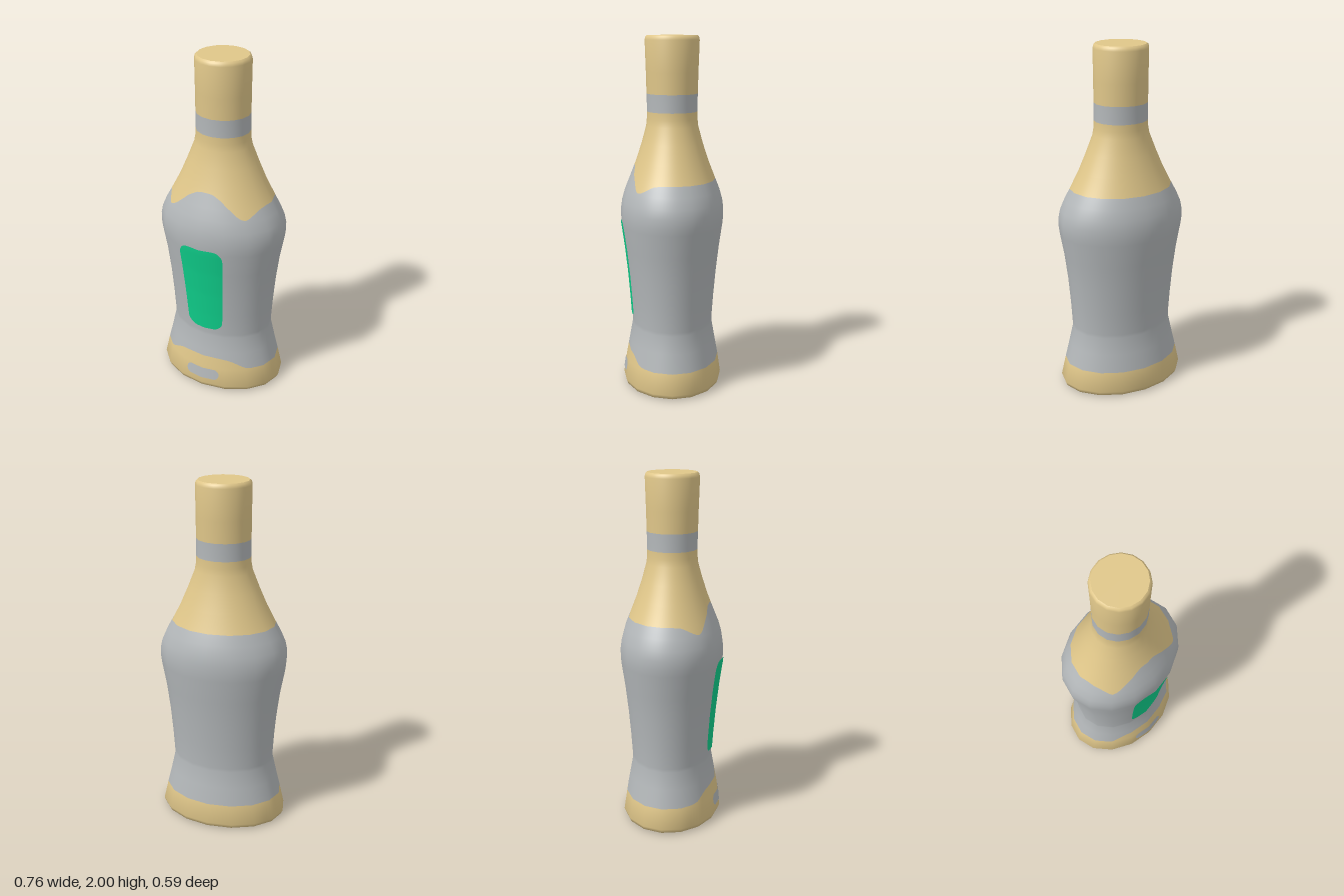
import * as THREE from 'three';

const SIDES = 16, SUB = 6;
// Oval bottle profile: height, half width, half depth
const PROFILE = [
  [0, 0.352, 0.262], [0.008, 0.37, 0.278], [0.03, 0.379, 0.286], [0.14, 0.353, 0.27], [0.25, 0.326, 0.25],
  [0.35, 0.303, 0.232], [0.37, 0.303, 0.232], [0.5, 0.311, 0.241], [0.65, 0.324, 0.254],
  [0.8, 0.343, 0.271], [0.94, 0.369, 0.291], [0.98, 0.374, 0.294], [1.03, 0.374, 0.294], [1.08, 0.363, 0.287],
  [1.14, 0.336, 0.27], [1.2, 0.302, 0.246], [1.3, 0.249, 0.207], [1.4, 0.205, 0.174],
  [1.5, 0.164, 0.147], [1.54, 0.156, 0.143], [1.6, 0.154, 0.142], [1.8, 0.154, 0.147],
  [1.975, 0.155, 0.153], [1.992, 0.151, 0.149], [2, 0.142, 0.14],
];
const LEVELS = PROFILE.map((p) => p[0]);

// Linear lookup of column k in a table sorted by its first column
function lookup(table, v, k = 1) {
  const i = Math.max(1, table.findIndex((p) => p[0] >= v));
  const a = table[i - 1], b = table[i];
  return a[k] + (b[k] - a[k]) * THREE.MathUtils.clamp((v - a[0]) / (b[0] - a[0]), 0, 1);
}

// Smooth normal of the oval body at an angle measured from the front
function bodyNormal(angle, y) {
  const h = y < 0.04 || y > 1.96 ? 0.006 : 0.018;
  const lo = Math.max(0, y - h), hi = Math.min(2, y + h);
  const rx = lookup(PROFILE, y, 1), rz = lookup(PROFILE, y, 2);
  const s = Math.sin(angle), c = Math.cos(angle);
  const dx = (lookup(PROFILE, hi, 1) - lookup(PROFILE, lo, 1)) / (hi - lo);
  const dz = (lookup(PROFILE, hi, 2) - lookup(PROFILE, lo, 2)) / (hi - lo);
  return new THREE.Vector3(rz * s, -(rz * dx * s * s + rx * dz * c * c), rx * c).normalize();
}

// Point on the sixteen-sided body; u counts sides from the front
function bodyPoint(u, y) {
  const step = (Math.PI * 2) / SIDES, i = Math.floor(u), t = u - i;
  const a = i * step, b = a + step;
  return new THREE.Vector3(
    lookup(PROFILE, y, 1) * THREE.MathUtils.lerp(Math.sin(a), Math.sin(b), t), y,
    lookup(PROFILE, y, 2) * THREE.MathUtils.lerp(Math.cos(a), Math.cos(b), t));
}

// Grid surface from a function (column, row) returning { p, n }
function gridMesh(name, cols, rows, at, material) {
  const pos = [], nor = [], index = [];
  for (let i = 0; i <= cols; i++) {
    for (let j = 0; j <= rows; j++) {
      const { p, n } = at(i, j);
      pos.push(p.x, p.y, p.z);
      nor.push(n.x, n.y, n.z);
    }
  }
  const same = (a, b) => [0, 1, 2].every((k) => Math.abs(pos[a * 3 + k] - pos[b * 3 + k]) < 1e-7);
  const tri = (a, b, c) => {
    if (!same(a, b) && !same(b, c) && !same(a, c)) index.push(a, b, c);
  };
  for (let i = 0; i < cols; i++) {
    for (let j = 0; j < rows; j++) {
      const a = i * (rows + 1) + j, b = a + rows + 1;
      tri(a, b, b + 1);
      tri(a, b + 1, a + 1);
    }
  }
  const g = new THREE.BufferGeometry();
  g.setAttribute('position', new THREE.Float32BufferAttribute(pos, 3));
  g.setAttribute('normal', new THREE.Float32BufferAttribute(nor, 3));
  g.setIndex(index);
  const mesh = new THREE.Mesh(g, material);
  mesh.name = name;
  return mesh;
}

// Part of the body between two edges, each a height depending on the angle
function band(name, low, high, material) {
  return gridMesh(name, SIDES * SUB, LEVELS.length + 1, (i, j) => {
    const u = i / SUB, angle = (u / SIDES) * Math.PI * 2;
    const lo = low(angle), hi = high(angle);
    const level = j === 0 ? lo : j > LEVELS.length ? hi : LEVELS[j - 1];
    const y = THREE.MathUtils.clamp(level, lo, hi);
    return { p: bodyPoint(u, y), n: bodyNormal(angle, y) };
  }, material);
}

// Thin rounded panel hugging the front of the body
function panel(name, y0, y1, w0, w1, corner, material) {
  const rows = 40, cols = 12, height = y1 - y0;
  return gridMesh(name, cols, rows, (i, j) => {
    const t = (1 - Math.cos((j / rows) * Math.PI)) / 2, y = y0 + t * height;
    const edge = Math.max(0, 1 - Math.min(y - y0, y1 - y) / corner);
    const half = THREE.MathUtils.lerp(w0, w1, t) - corner * (1 - Math.sqrt(1 - edge * edge));
    const x = half * ((i / cols) * 2 - 1);
    const rx = lookup(PROFILE, y, 1), rz = lookup(PROFILE, y, 2);
    const step = (Math.PI * 2) / SIDES, s = Math.abs(x) / rx / Math.sin(step);
    const z = rz * (1 - s * (1 - Math.cos(step)));
    return { p: new THREE.Vector3(x, y, z + 0.004), n: bodyNormal(Math.asin(x / rx), y) };
  }, material);
}

// Flat disc closing an end of the body
function endCap(name, level, up, material) {
  const g = new THREE.CircleGeometry(1, SIDES);
  g.rotateX(up ? -Math.PI / 2 : Math.PI / 2);
  g.scale(level[1], 1, level[2]);
  const mesh = new THREE.Mesh(g, material);
  mesh.name = name;
  mesh.position.y = level[0];
  return mesh;
}

export function createModel() {
  const paint = (name, color) => {
    const m = new THREE.MeshStandardMaterial({ color });
    m.name = name;
    return m;
  };
  const gold = paint('gold', 0xdfc689);
  const grey = paint('grey', 0xb3b7b9);
  const green = paint('green', 0x0fcf8b);

  // Wavy colour edges on the front, level around the back
  const shoulderWave = [[0, 1.28], [0.1, 1.278], [0.2, 1.272], [0.36, 1.247], [0.5, 1.205], [0.61, 1.168],
    [0.67, 1.153], [0.73, 1.15], [0.81, 1.165], [0.92, 1.195], [1, 1.2]];
  const baseWave = [[0, 0.21], [0.4, 0.207], [0.52, 0.193], [0.68, 0.162], [0.78, 0.148], [1, 0.146]];
  const wave = (table) => (a) =>
    lookup(table, Math.cos(a) > 0 ? Math.min(1, Math.abs(Math.sin(a))) : 1);
  const level = (y) => () => y;
  const shoulder = wave(shoulderWave), base = wave(baseWave);

  const model = new THREE.Group();
  model.name = 'bottle';
  model.add(
    endCap('bottom', PROFILE[0], false, gold),
    band('base', level(0), base, gold),
    band('body', base, shoulder, grey),
    band('shoulder', shoulder, level(1.58), gold),
    band('neckRing', level(1.58), level(1.68), grey),
    band('cap', level(1.68), level(2), gold),
    endCap('capTop', PROFILE[PROFILE.length - 1], true, gold),
    panel('frontLabel', 0.4, 0.96, 0.108, 0.138, 0.06, green),
    panel('basePlate', 0.064, 0.13, 0.106, 0.106, 0.032, grey),
  );
  return model;
}
